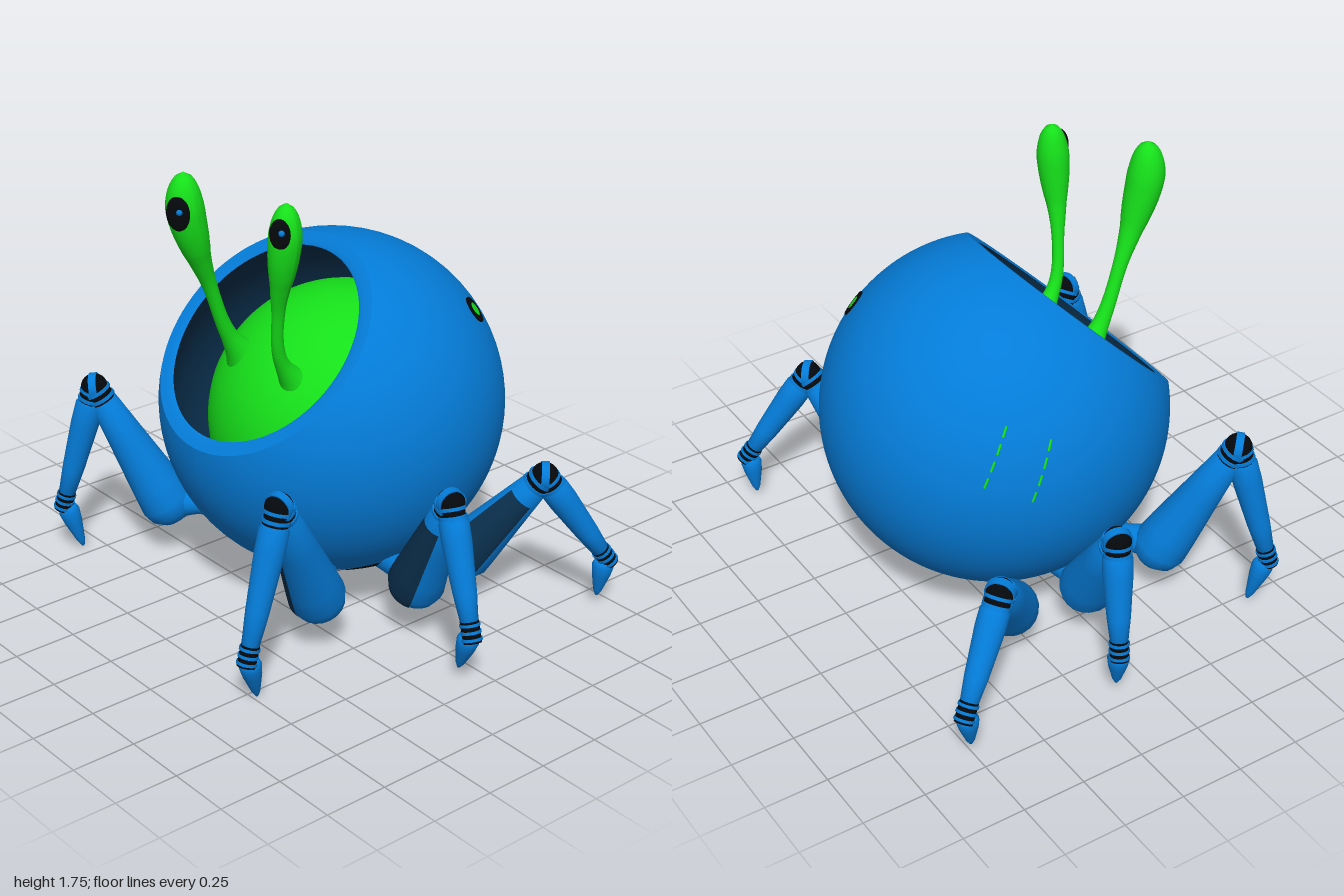
import * as THREE from 'three';

const mat = (name, color, side = THREE.FrontSide) => {
  const m = new THREE.MeshStandardMaterial({ color, side });
  m.name = name;
  return m;
};
const V = (x, y, z) => new THREE.Vector3(x, y, z);
const UP = V(0, 1, 0);

export function createModel() {
  const blue = mat('shell blue', 0x047cd8, THREE.DoubleSide);
  const navy = mat('inner navy', 0x0a304e, THREE.DoubleSide);
  const green = mat('slime green', 0x16e01a);
  const black = mat('joint black', 0x05080c);
  const model = new THREE.Group();
  model.name = 'walker';

  const add = (parent, name, geo, material) => {
    const mesh = new THREE.Mesh(geo, material);
    mesh.name = name;
    parent.add(mesh);
    return mesh;
  };

  // Lathe of [radius, fraction] steps stretched from a to b; local +z turns towards "facing"
  const limb = (parent, name, profile, a, b, material, facing = V(0.3, 0, 0.9), start = 0, sweep = Math.PI * 2) => {
    const len = a.distanceTo(b);
    const geo = new THREE.LatheGeometry(profile.map(([r, t]) => new THREE.Vector2(r, t * len)), 20, start, sweep);
    const mesh = add(parent, name, geo, material);
    const y = b.clone().sub(a).normalize();
    const x = y.clone().cross(facing).normalize();
    mesh.quaternion.setFromRotationMatrix(new THREE.Matrix4().makeBasis(x, y, x.clone().cross(y)));
    mesh.position.copy(a);
  };

  // Round shell with a tilted opening and a flattened bottom
  const C = V(-0.03, 0.745, -0.085), R = 0.665, RI = 0.622, CUT = 0.467;
  const flatten = geo => {
    const p = geo.attributes.position;
    for (let i = 0; i < p.count; i++) {
      const y = p.getY(i);
      if (y < 0.22) p.setY(i, 0.22 + (y - 0.22) * 0.62);
    }
    geo.computeVertexNormals();
    return geo;
  };
  const arc = (r, from, to, n) => Array.from({ length: n + 1 }, (_, i) => {
    const a = from + (to - from) * i / n;
    return new THREE.Vector2(Math.max(0, r * Math.sin(a)), r * Math.cos(a));
  });
  const turned = points => flatten(new THREE.LatheGeometry(points, 80).rotateX(Math.PI / 4).translate(C.x, C.y, C.z));
  add(model, 'shell', turned(arc(R, Math.PI, Math.acos(CUT / R), 60)), blue);
  const rim = [[0.4735, 0], [0.45, 0.001], [0.425, 0], [0.415, -0.005]];
  add(model, 'rim', turned(rim.map(([r, y]) => new THREE.Vector2(r, CUT + y))), blue);
  add(model, 'shellInside', turned([new THREE.Vector2(0.415, CUT - 0.005), ...arc(RI, Math.acos((CUT - 0.02) / RI), 1.9, 24)]), navy);

  // Dark hollow under the body, leaning to the left
  const hollow = new THREE.SphereGeometry(R + 0.004, 64, 32, 0, Math.PI * 2, 0, 0.52);
  hollow.applyQuaternion(new THREE.Quaternion().setFromUnitVectors(UP, V(0.26, -0.96, -0.04).normalize()));
  add(model, 'underside', flatten(hollow.translate(C.x, C.y, C.z)), black);

  // Soft creature inside
  const blob = add(model, 'creature', new THREE.SphereGeometry(0.53, 48, 32, 0, Math.PI * 2, 0, Math.PI * 0.7), green);
  blob.position.set(-0.03, 0.66, -0.15);

  // Eye stalks: tubes whose radius swells into a bulb
  const stalk = (name, points, radii, eyePos, size) => {
    const g = new THREE.Group();
    g.name = name;
    const path = new THREE.CatmullRomCurve3(points);
    const samples = new THREE.SplineCurve(radii.map(([u, r]) => new THREE.Vector2(u, r))).getPoints(300);
    const rings = 56, sides = 20;
    const geo = new THREE.TubeGeometry(path, rings, 1, sides);
    const p = geo.attributes.position;
    for (let i = 0; i <= rings; i++) {
      const u = i / rings, c = path.getPointAt(u);
      const r = i === rings ? 0 : samples.find(s => s.x >= u).y * size;
      for (let j = 0; j <= sides; j++) {
        const k = i * (sides + 1) + j;
        const v = V(p.getX(k), p.getY(k), p.getZ(k)).sub(c).multiplyScalar(r).add(c);
        p.setXYZ(k, v.x, v.y, v.z);
      }
    }
    geo.computeVertexNormals();
    add(g, 'stalk', geo, green);
    const eye = new THREE.Group();
    eye.name = 'eye';
    eye.position.copy(eyePos);
    eye.rotation.y = 0.5;
    add(eye, 'pupil', new THREE.SphereGeometry(1, 24, 16), black).scale.set(0.046 * size, 0.066 * size, 0.022);
    const glint = add(eye, 'glint', new THREE.SphereGeometry(0.012, 10, 8), blue);
    glint.position.set(0.014, 0.012, 0.018);
    g.add(eye);
    model.add(g);
  };
  const bulb = [[0, 0.095], [0.08, 0.075], [0.14, 0.052], [0.22, 0.034], [0.34, 0.027], [0.48, 0.028], [0.6, 0.04],
    [0.73, 0.062], [0.85, 0.071], [0.93, 0.058], [0.98, 0.033], [1, 0]];
  stalk('rightEyeStalk', [V(-0.19, 0.89, 0.17), V(-0.18, 1.08, 0.3), V(-0.165, 1.3, 0.39), V(-0.15, 1.47, 0.46),
    V(-0.15, 1.62, 0.5), V(-0.15, 1.76, 0.505)], bulb, V(-0.121, 1.62, 0.552), 1);
  stalk('leftEyeStalk', [V(0.11, 0.89, 0.17), V(0.135, 1.08, 0.3), V(0.175, 1.3, 0.335), V(0.21, 1.45, 0.345),
    V(0.23, 1.6, 0.345), V(0.23, 1.71, 0.34)], bulb, V(0.254, 1.61, 0.389), 0.87);

  // Six jointed legs: hip, knee, ankle, tip
  const legs = [
    ['frontRightLeg', V(-0.55, 0.24, 0.34), V(-0.73, 0.73, 0.54), V(-0.82, 0.23, 0.645), V(-0.785, 0.02, 0.59)],
    ['middleRightLeg', V(-0.6, 0.24, -0.04), V(-0.86, 0.65, -0.1), V(-0.955, 0.23, -0.145), V(-0.93, 0.05, -0.135)],
    ['backRightLeg', V(-0.53, 0.22, -0.34), V(-0.82, 0.6, -0.57), V(-0.94, 0.24, -0.79), V(-0.92, 0.06, -0.76)],
    ['frontLeftLeg', V(0.42, 0.24, 0.36), V(0.54, 0.74, 0.63), V(0.56, 0.21, 0.79), V(0.53, 0.005, 0.73)],
    ['middleLeftLeg', V(0.58, 0.24, 0.01), V(0.8, 0.67, 0.055), V(0.965, 0.23, 0.095), V(0.9, 0.05, 0.09)],
    ['backLeftLeg', V(0.5, 0.22, -0.31), V(0.75, 0.59, -0.47), V(0.865, 0.22, -0.7), V(0.84, 0.04, -0.69)],
  ];
  const thigh = [[0, -0.16], [0.06, -0.15], [0.095, -0.09], [0.108, 0], [0.1, 0.15], [0.075, 0.55], [0.055, 0.88], [0, 0.9]];
  const sidePanel = [[0.098, -0.09], [0.111, 0], [0.103, 0.15], [0.078, 0.55], [0.065, 0.75]];
  const shin = [[0, 0.1], [0.04, 0.1], [0.056, 0.15], [0.056, 0.3], [0.044, 0.7], [0.033, 0.93], [0, 0.93]];
  const foot = [[0, 0.12], [0.034, 0.12], [0.042, 0.24], [0.036, 0.45], [0.017, 0.85], [0.006, 0.98], [0, 1]];
  // Ridged joint: dark core with a row of blue rings
  const joint = (parent, name, at, dir, r, len, rings) => {
    const g = new THREE.Group();
    g.name = name;
    add(g, 'core', new THREE.CylinderGeometry(r * 0.9, r * 0.9, len, 16), black);
    for (let i = 0; i < rings; i++) {
      const ring = add(g, 'ring', new THREE.CylinderGeometry(r, r, len / rings * 0.4, 16), blue);
      ring.position.y = len * ((i + 0.5) / rings - 0.5);
    }
    g.position.copy(at);
    g.quaternion.setFromUnitVectors(UP, dir);
    parent.add(g);
  };
  for (const [name, hip, knee, ankle, tip] of legs) {
    const leg = new THREE.Group();
    leg.name = name;
    const root = V(C.x + (hip.x - C.x) * 0.6, 0.25, C.z + (hip.z - C.z) * 0.6);
    limb(leg, 'hipLink', [[0.06, 0], [0.05, 0.5], [0.075, 1]], root, hip, blue);
    limb(leg, 'thigh', thigh, hip, knee, blue);
    // Shaded forward side on the left thighs
    if (hip.x > 0) limb(leg, 'thighSidePanel', sidePanel, hip, knee, navy, V(C.z - hip.z, 0, hip.x - C.x), -0.85, 1.7);
    limb(leg, 'shin', shin, knee, ankle, blue);
    limb(leg, 'foot', foot, ankle, tip, blue);
    const up = knee.clone().sub(hip).normalize(), down = ankle.clone().sub(knee).normalize();
    joint(leg, 'upperKnee', knee.clone().addScaledVector(up, -0.035), up, 0.057, 0.065, 2);
    add(leg, 'kneeBall', new THREE.SphereGeometry(0.053, 18, 12), black).position.copy(knee);
    const band = add(leg, 'kneeBand', new THREE.CylinderGeometry(0.056, 0.056, 0.03, 18), blue);
    band.position.copy(knee);
    band.quaternion.setFromUnitVectors(UP, up.clone().add(down).normalize());
    joint(leg, 'lowerKnee', knee.clone().addScaledVector(down, 0.035), down, 0.053, 0.065, 2);
    joint(leg, 'ankle', ankle, down, 0.039, 0.08, 3);
    model.add(leg);
  }

  // Round port on the back
  const out = V(0.37, 0.38, -0.37).normalize();
  [['portRim', 0.054, 0.006, black], ['portLight', 0.027, 0.01, green]].forEach(([name, r, h, m]) => {
    const disc = add(model, name, new THREE.CylinderGeometry(r, r, h, 24), m);
    disc.position.copy(C).addScaledVector(out, R);
    disc.quaternion.setFromUnitVectors(UP, out);
  });

  // Thin broken scratches on the right side: heading and height of the upper end
  for (const [heading, top] of [[3.64, 0.5], [3.38, 0.4]]) {
    for (let i = 0; i < 4; i++) {
      const pts = [0, 0.5, 1].map(t => {
        const drop = i * 0.095 + t * 0.06, el = top - drop, a = heading + drop * 0.37;
        return V(Math.cos(el) * Math.cos(a), Math.sin(el), Math.cos(el) * Math.sin(a)).multiplyScalar(R - 0.002).add(C);
      });
      add(model, 'scratch', new THREE.TubeGeometry(new THREE.CatmullRomCurve3(pts), 6, 0.005, 8), green);
    }
  }
  return model;
}
